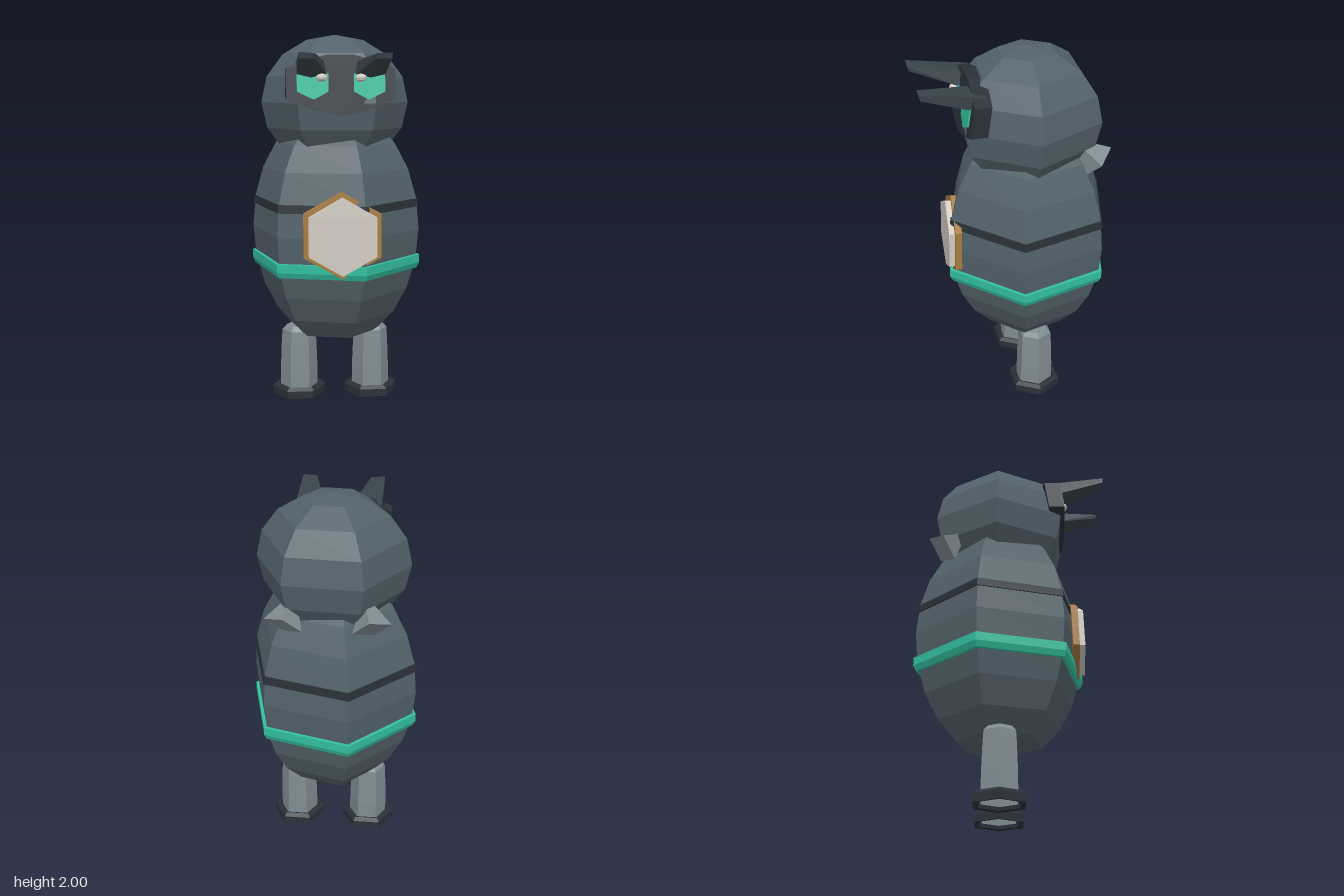
import * as THREE from 'three';
import { ConvexGeometry } from 'three/addons/geometries/ConvexGeometry.js';

const CENTER_Z = -0.06; // axis of body, head and legs
const rad = THREE.MathUtils.degToRad;

function material(name, color) {
  const m = new THREE.MeshStandardMaterial({ color, flatShading: true, side: THREE.DoubleSide });
  m.name = name;
  return m;
}

function part(name, geometry, mat, parent) {
  const mesh = new THREE.Mesh(geometry, mat);
  mesh.name = name;
  parent.add(mesh);
  return mesh;
}

// Six-sided turned shape from [radius, y] pairs listed bottom to top
function turned(points, turn) {
  return new THREE.LatheGeometry(points.map(([r, y]) => new THREE.Vector2(r, y)), 6, rad(turn));
}

// Profile of an ellipsoid between two polar angles measured from the bottom
function ellipsoid(r, ry, y, from, to, rows) {
  return Array.from({ length: rows + 1 }, (_, i) => {
    const a = rad(from + (to - from) * i / rows);
    return [r * Math.sin(a), y - ry * Math.cos(a)];
  });
}

// Flat plate whose z is sheared by a rule of x and y
function plate(points, depth, zRule) {
  const shape = new THREE.Shape(points.map(([x, y]) => new THREE.Vector2(x, y)));
  const g = new THREE.ExtrudeGeometry(shape, { depth, bevelEnabled: false });
  const p = g.attributes.position;
  for (let i = 0; i < p.count; i++) p.setZ(i, p.getZ(i) - depth + zRule(p.getX(i), p.getY(i)));
  g.computeVertexNormals();
  return g;
}

function hexagon(w, h, y) {
  return [[0, y - h], [w, y - h / 2], [w, y + h / 2], [0, y + h], [-w, y + h / 2], [-w, y - h / 2]];
}

export function createModel() {
  const model = new THREE.Group();
  model.name = 'roundBird';
  const slate = material('slate', 0x53626b);
  const dark = material('charcoal', 0x2a3138);
  const browGrey = material('browGrey', 0x38434a);
  const grey = material('lightGrey', 0x808d93);
  const teal = material('teal', 0x32bf9f);
  const gold = material('gold', 0xa67b40);
  const ivory = material('ivory', 0xd0cac0);

  // Body, bands and head share one vertical axis
  const trunk = new THREE.Group();
  trunk.name = 'trunk';
  trunk.position.z = CENTER_Z;
  model.add(trunk);
  part('body', turned([[0, 0.372], ...ellipsoid(0.467, 0.667, 0.95, 30, 150, 8)], 15), slate, trunk);
  part('belt', turned([[0.43, 0.735], [0.458, 0.735], [0.473, 0.765], [0.473, 0.81],
    [0.43, 0.812], [0.43, 0.735]], 15), teal, trunk);
  part('chestBand', turned([[0.43, 1.077], [0.464, 1.077], [0.458, 1.12], [0.43, 1.12], [0.43, 1.077]], 15), dark, trunk);
  part('head', turned(ellipsoid(0.4, 0.36, 1.64, 0, 180, 8), 26.5), slate, trunk);

  // Chest badge
  const badgeZ = (x, y) => 0.398 + 0.05 * x - 0.06 * Math.max(0, y - 0.97);
  part('badgeRim', plate(hexagon(0.2, 0.225, 0.97), 0.035, (x, y) => badgeZ(x, y) - 0.03), gold, model);
  part('badgeFace', plate(hexagon(0.175, 0.202, 0.967), 0.03, badgeZ), ivory, model);

  // Face mask, leaning back with the head
  const maskZ = (x, y) => 0.3 - 0.15 * (y - 1.6);
  const half = [[0, 1.58], [0.13, 1.605], [0.28, 1.66], [0.28, 1.815], [0.2, 1.85], [0.07, 1.885]];
  const outline = [...half, ...half.slice(1).reverse().map(([x, y]) => [-x, y])];
  part('mask', plate(outline, 0.085, maskZ), dark, model);

  for (const s of [1, -1]) {
    const side = s > 0 ? 'left' : 'right';

    // Eye panel and pupil
    const eye = [[0.065, 1.79], [0.065, 1.7], [0.14, 1.66], [0.225, 1.7], [0.225, 1.79]];
    part(side + 'Eye', plate(eye.map(([x, y]) => [s * x, y]), 0.009, (x, y) => maskZ(x, y) + 0.012), teal, model);
    const pupil = part(side + 'Pupil', new THREE.SphereGeometry(0.03, 10, 6), ivory, model);
    pupil.position.set(s * 0.1, 1.77, 0.3);
    pupil.scale.set(1, 0.7, 0.7);

    // Brow wedge reaching forward
    const brow = [
      [0.225, 1.845, 0.2], [0.07, 1.845, 0.2], [0.225, 1.78, 0.26], [0.07, 1.78, 0.26],
      [0.15, 1.765, 0.27], [0.225, 1.89, 0.52], [0.15, 1.885, 0.52], [0.225, 1.86, 0.515], [0.15, 1.86, 0.515],
    ];
    part(side + 'Brow', new ConvexGeometry(brow.map(([x, y, z]) => new THREE.Vector3(s * x, y, z))), browGrey, model);

    // Tuft flaring out at the back of the head
    const apex = new THREE.Vector3(s * 0.17, 1.55, -0.25);
    const base = new THREE.Vector3(s * 0.22, 1.42, -0.38);
    const tuft = part(side + 'Tuft', new THREE.ConeGeometry(0.1, apex.distanceTo(base), 4), grey, model);
    tuft.position.copy(apex).add(base).multiplyScalar(0.5);
    tuft.quaternion.setFromUnitVectors(new THREE.Vector3(0, 1, 0), apex.clone().sub(base).normalize());

    // Leg and open foot ring
    const leg = new THREE.Group();
    leg.name = side + 'Leg';
    leg.position.set(s * 0.203, 0, CENTER_Z);
    model.add(leg);
    part(side + 'Shin', turned([[0.105, 0.02], [0.104, 0.15], [0.098, 0.3], [0.093, 0.37], [0.07, 0.395], [0, 0.395]], 30), grey, leg);
    part(side + 'Foot', turned([[0.118, 0.004], [0.148, 0], [0.148, 0.042], [0.128, 0.06],
      [0.114, 0.055], [0.118, 0.004]], 30), dark, leg);
  }
  return model;
}
